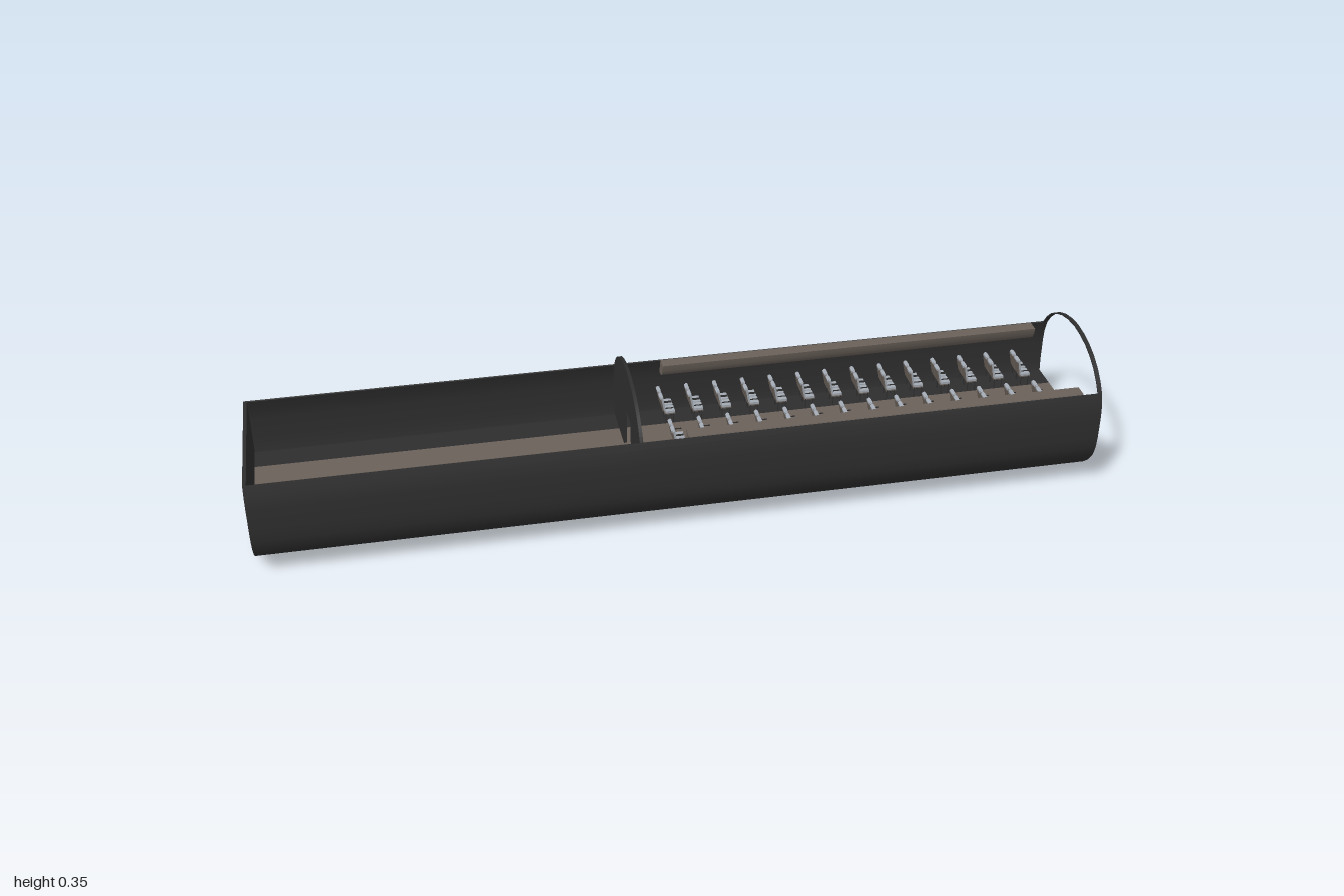
import * as THREE from 'three';
import { toCreasedNormals, mergeGeometries } from 'three/addons/utils/BufferGeometryUtils.js';

const mat = (name, color) => {
  const m = new THREE.MeshStandardMaterial({ color });
  m.name = name;
  return m;
};

export function createModel() {
  const group = new THREE.Group();
  const shellMat = mat('charcoal shell', 0x2e2e2e);
  const beige = mat('taupe trim', 0x6a615a);
  const cushionMat = mat('pale grey upholstery', 0xa3a9b2);

  const add = (name, geometry, material, parent = group) => {
    const mesh = new THREE.Mesh(geometry, material);
    mesh.name = name;
    parent.add(mesh);
    return mesh;
  };
  const box = (w, h, d, x, y, z) => new THREE.BoxGeometry(w, h, d).translate(x, y, z);
  // extrude a (z, y) outline along the length from x0 to x1
  const extrude = (outline, holes, x0, x1) => {
    const shape = new THREE.Shape(outline);
    holes.forEach((h) => shape.holes.push(new THREE.Path(h)));
    const g = new THREE.ExtrudeGeometry(shape, { depth: x1 - x0, bevelEnabled: false });
    return toCreasedNormals(g.rotateY(Math.PI / 2).translate(x0, 0, 0), 0.6);
  };
  const V = (z, y) => new THREE.Vector2(z, y);

  // Cross-section: one quarter from the bottom to the widest point
  const midY = 0.179;
  const quarter = [[0, 0.002], [0.04, 0.006], [0.075, 0.014], [0.109, 0.028], [0.138, 0.046],
    [0.161, 0.068], [0.178, 0.091], [0.188, 0.12], [0.191, 0.15]];
  const upper = quarter.slice().reverse().map(([z, y]) => [z, 2 * midY - y]);
  const half = [...quarter, ...upper];            // bottom centre to top centre
  const scaled = (pts, k) => pts.map(([z, y]) => V(z * k, midY + (y - midY) * k));
  const mirror = (pts) => pts.map((p) => V(-p.x, p.y)).reverse();
  const inner = 0.982;
  const loop = (k) => {
    const r = scaled(half, k);
    return [...r, ...mirror(r).slice(1, -1)];
  };

  // Hull trough, cut open along the top
  const cut = half.slice(0, 12);
  const trough = (k) => {
    const r = scaled(cut, k);
    return [...mirror(r).slice(0, -1), ...r];
  };
  add('hull', extrude([...trough(1), ...trough(inner).reverse()], [], -1, 1), shellMat);

  // Complete hoop at the open end
  add('endHoop', extrude(loop(1), [loop(inner)], 0.99, 1), shellMat);

  // Floor slab and aisle carpets
  const floorTop = 0.118;
  add('floor', extrude([V(-0.175, 0.092), V(0.175, 0.092), V(0.186, floorTop), V(-0.186, floorTop)],
    [], -1, 1), shellMat);
  for (const s of [-1, 1]) {
    add('aisleCarpet', box(1.998, 0.002, 0.073, 0, floorTop + 0.001, s * 0.08), beige);
  }

  // End wall stops at the hull rim
  const wallSide = scaled(half.slice(7, 12), 0.99);
  add('endWall', extrude([...wallSide, ...mirror(wallSide)], [], -1, -0.992), shellMat);

  // Full-height partition with a doorway
  const arch = scaled(half.slice(7), 0.995);
  const doorway = [V(-0.05, floorTop), V(-0.05, 0.24), V(0.05, 0.24), V(0.05, floorTop)];
  add('partition', extrude([...arch, ...mirror(arch).slice(1), ...doorway], [], -0.114, -0.106), shellMat);

  // Overhead lockers with a curved underside
  for (const s of [-1, 1]) {
    const pts = [[0.174, 0.268], [0.143, 0.268], [0.146, 0.252], [0.154, 0.238], [0.166, 0.23],
      [0.187, 0.226], [0.186, 0.238]].map(([z, y]) => V(z * s, y));
    add('overheadLocker', extrude(pts, [], 0, 0.955), beige);
  }

  // Seat parts, facing +x
  const tilt = (g) => g.rotateZ(0.2).translate(-0.008, 0.15, 0);
  const taper = (g) => {
    const p = g.attributes.position;
    for (let i = 0; i < p.count; i++) if (p.getY(i) < 0.01) p.setZ(i, p.getZ(i) * 0.86);
    g.computeVertexNormals();
    return g;
  };
  const cushions = mergeGeometries([
    box(0.023, 0.006, 0.027, 0.005, 0.147, 0),
    tilt(taper(box(0.005, 0.039, 0.028, 0, 0.0205, 0))),
    tilt(box(0.009, 0.008, 0.02, -0.001, 0.037, 0)),
  ]);
  const backShell = mergeGeometries([
    tilt(taper(box(0.003, 0.036, 0.028, -0.004, 0.018, 0))),
    box(0.026, 0.003, 0.028, 0.004, 0.1425, 0),
  ]);
  const frame = [];
  for (const z of [-0.0135, 0.0135]) {
    for (const x of [-0.006, 0.013]) frame.push(box(0.002, 0.026, 0.002, x, 0.13, z));
    frame.push(box(0.02, 0.002, 0.002, 0.003, 0.159, z));
  }
  const frameGeometry = mergeGeometries(frame);

  // Fourteen rows of three pairs
  for (let row = 0; row < 14; row++) {
    for (const z of [-0.168, -0.137, -0.015, 0.015, 0.137, 0.168]) {
      const seat = new THREE.Group();
      seat.name = 'seat';
      seat.position.set(0.01 + row * 0.0708, 0, z);
      add('seatCushions', cushions, cushionMat, seat);
      add('seatShell', backShell, beige, seat);
      add('seatFrame', frameGeometry, shellMat, seat);
      group.add(seat);
    }
  }
  return group;
}
